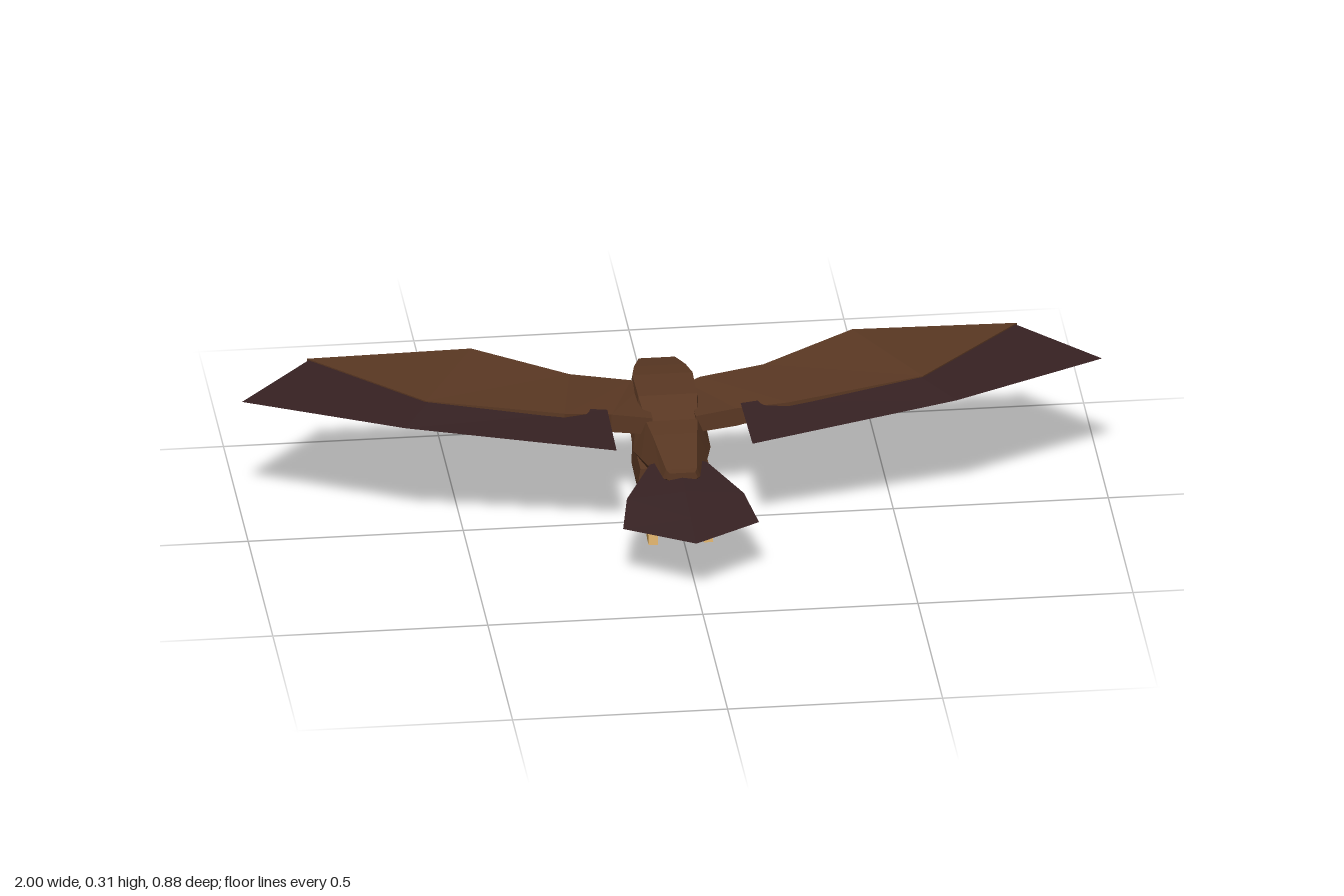
import * as THREE from 'three';

const brown = new THREE.MeshStandardMaterial({ color: 0x5a3823 });
brown.name = 'brown plumage';
const dark = new THREE.MeshStandardMaterial({ color: 0x372223, side: THREE.DoubleSide });
dark.name = 'dark flight feathers';
const gold = new THREE.MeshStandardMaterial({ color: 0xc69a4e });
gold.name = 'golden horn';

// Flat-shaded geometry from a list of triangles
function faceted(tris) {
  const g = new THREE.BufferGeometry();
  g.setAttribute('position', new THREE.Float32BufferAttribute(tris.flat(2), 3));
  g.computeVertexNormals();
  return g;
}

// Closed solid through rings of equal length, turned outwards by its signed volume
function loft(rings) {
  const n = rings[0].length;
  const tris = [];
  for (let i = 0; i < rings.length - 1; i++) {
    for (let j = 0; j < n; j++) {
      const k = (j + 1) % n;
      const [a, b, c, d] = [rings[i][j], rings[i][k], rings[i + 1][k], rings[i + 1][j]];
      tris.push([a, b, c], [a, c, d]);
    }
  }
  const last = rings[rings.length - 1];
  for (let j = 1; j < n - 1; j++) {
    tris.push([rings[0][0], rings[0][j + 1], rings[0][j]], [last[0], last[j], last[j + 1]]);
  }
  const v = tris.map((t) => t.map((p) => new THREE.Vector3(...p)));
  const volume = v.reduce((s, [a, b, c]) => s + a.dot(b.clone().cross(c)), 0);
  return faceted(volume < 0 ? tris.map(([a, b, c]) => [a, c, b]) : tris);
}

// Open sheet through pairs of points
function sheet(rows) {
  const tris = [];
  for (let i = 0; i < rows.length - 1; i++) {
    const [[a, b], [d, c]] = [rows[i], rows[i + 1]];
    tris.push([a, b, c], [a, c, d]);
  }
  return faceted(tris);
}

// Side outline in (z, y) given a thickness across x
function sidePlate(points, thickness, x) {
  const shape = new THREE.Shape(points.map(([z, y]) => new THREE.Vector2(z, y)));
  const g = new THREE.ExtrudeGeometry(shape, { depth: thickness, bevelEnabled: false });
  return g.translate(0, 0, -thickness / 2).rotateY(-Math.PI / 2).translate(x, 0, 0);
}

export function createModel() {
  const model = new THREE.Group();
  model.name = 'bird';
  const bodyParts = new THREE.Group();
  bodyParts.name = 'bodyAndLegs';
  bodyParts.position.x = -0.008;
  model.add(bodyParts);
  const add = (name, geometry, material, parent = bodyParts) => {
    const mesh = new THREE.Mesh(geometry, material);
    mesh.name = name;
    parent.add(mesh);
  };

  // Body and head: z, top y, widest y, bottom y, half widths at those heights
  const sections = [
    [0.155, 0.196, 0.182, 0.166, 0.03, 0.036, 0.02],
    [0.137, 0.198, 0.175, 0.137, 0.036, 0.045, 0.025],
    [0, 0.22, 0.16, 0.11, 0.052, 0.078, 0.045],
    [-0.06, 0.227, 0.153, 0.1, 0.06, 0.09, 0.05],
    [-0.147, 0.25, 0.174, 0.088, 0.068, 0.088, 0.05],
    [-0.25, 0.254, 0.178, 0.104, 0.07, 0.083, 0.045],
    [-0.305, 0.249, 0.18, 0.138, 0.06, 0.07, 0.035],
    [-0.364, 0.24, 0.182, 0.141, 0.042, 0.05, 0.028],
    [-0.385, 0.226, 0.183, 0.144, 0.034, 0.04, 0.024],
    [-0.418, 0.192, 0.185, 0.172, 0.013, 0.016, 0.01],
  ];
  add('body', loft(sections.map(([z, t, m, b, wt, wm, wb]) => [
    [wt, t, z], [wm, m, z], [wb, b, z], [-wb, b, z], [-wm, m, z], [-wt, t, z],
  ])), brown);

  // Hooked beak
  add('beak', sidePlate([
    [-0.395, 0.162], [-0.428, 0.162], [-0.438, 0.15], [-0.44, 0.175],
    [-0.43, 0.188], [-0.412, 0.194], [-0.395, 0.19],
  ], 0.024, 0), gold);

  for (const s of [1, -1]) {
    const side = s > 0 ? 'left' : 'right';

    // Tail half: outer edge and raised centre line
    add(side + 'Tail', sheet([
      [[s * 0.066, 0.18, 0.07], [0, 0.192, 0.07]],
      [[s * 0.136, 0.166, 0.215], [0, 0.178, 0.215]],
      [[s * 0.158, 0.146, 0.33], [0, 0.165, 0.33]],
      [[0, 0.153, 0.44], [0, 0.153, 0.44]],
    ]), dark);

    // Thigh: y, front z, back z, inner x, outer x
    const thigh = [
      [0.135, -0.16, 0, 0.015, 0.08],
      [0.09, -0.13, 0, 0.03, 0.086],
      [0.067, -0.08, -0.004, 0.042, 0.082],
      [0.04, -0.036, -0.03, 0.054, 0.07],
    ];
    add(side + 'Thigh', loft(thigh.map(([y, f, b, i, o]) => [
      [s * i, y, f], [s * o, y, f], [s * o, y, b], [s * i, y, b],
    ])), brown);

    // Trailing foot with spread toes
    add(side + 'Foot', sidePlate([
      [-0.03, 0.041], [-0.01, 0.065], [0.06, 0.043], [0.102, 0.053], [0.082, 0.034],
      [0.114, 0.026], [0.126, 0], [0.09, 0], [0.06, 0.021],
    ], 0.022, s * 0.064), gold);

    // Wing: leading x, z, trailing x, z, then top and bottom y
    const wing = new THREE.Group();
    wing.name = side + 'Wing';
    wing.position.x = -0.003;
    model.add(wing);
    const arm = [
      [0.05, -0.235, 0.05, -0.058, 0.235, 0.193],
      [0.08, -0.232, 0.145, -0.058, 0.25, 0.205],
      [0.225, -0.215, 0.26, -0.01, 0.282, 0.258],
      [0.443, -0.312, 0.578, -0.05, 0.313, 0.294],
      [0.825, -0.302, 0.823, -0.3, 0.313, 0.294],
    ];
    add(side + 'WingArm', loft(arm.map(([lx, lz, tx, tz, t, b]) => [
      [s * lx, t, lz], [s * tx, t, tz], [s * tx, b, tz], [s * lx, b, lz],
    ])), brown, wing);

    // Flight feathers behind and beyond the arm
    add(side + 'FlightFeathers', sheet([
      [[s * 0.155, 0.262, -0.06], [s * 0.158, 0.262, 0.155]],
      [[s * 0.57, 0.31, -0.055], [s * 0.641, 0.31, 0.08]],
      [[s * 0.82, 0.31, -0.302], [s * 1, 0.31, -0.1]],
    ]), dark, wing);
  }
  return model;
}
